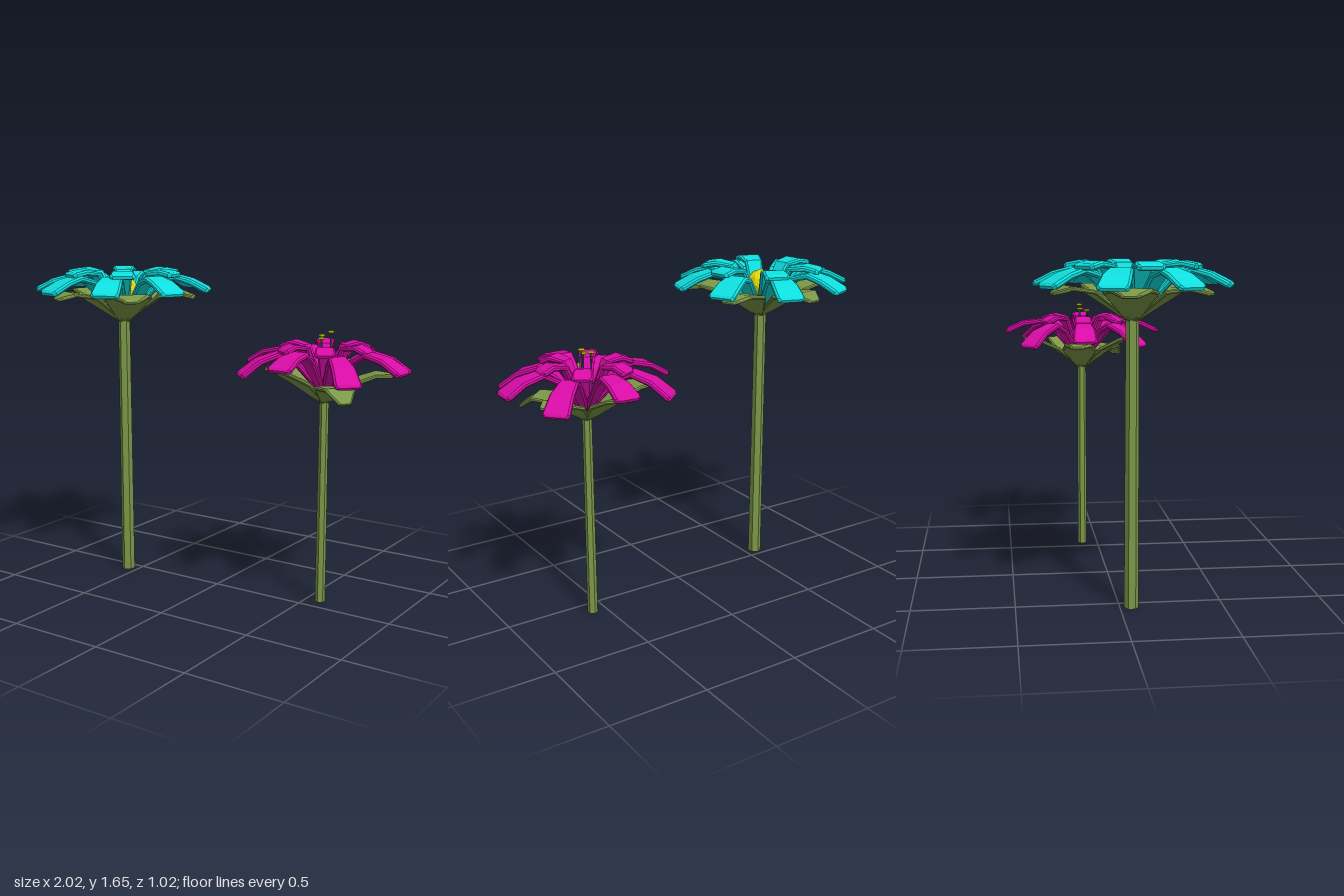
import * as THREE from 'three';

const mat = (color) => new THREE.MeshStandardMaterial({ color, flatShading: true });
const GREEN = mat(0x7c9848), CYAN = mat(0x0fdede), PINK = mat(0xd80ca6);
const YELLOW = mat(0xe6da0a), STALK = mat(0x3f5f7a);

// Bent blade along +x: rows of [radius, height, width], chamfered cross-section
function blade(rows, thick, lift = 0) {
  const n = rows.length;
  const path = rows.map(([r, y], i) => new THREE.Vector2(r, y + lift * (i / (n - 1)) ** 2));
  const rings = [];
  const addRing = (p, nx, ny, w, t) => {
    const c = Math.min(t * 0.6, w * 0.4);
    rings.push([[t, c - w], [t, w - c], [t - c, w], [c - t, w], [-t, w - c], [-t, c - w], [c - t, -w], [t - c, -w]]
      .map(([h, z]) => [p.x + nx * h, p.y + ny * h, z]));
  };
  path.forEach((p, i) => {
    const d = path[Math.min(i + 1, n - 1)].clone().sub(path[Math.max(i - 1, 0)]).normalize();
    const w = rows[i][2] / 2, t = thick / 2;
    if (i < n - 1) return addRing(p, -d.y, d.x, w, t);
    // Softened tip
    addRing(p.clone().addScaledVector(d, -t), -d.y, d.x, w, t);
    addRing(p, -d.y, d.x, w - t, t * 0.5);
  });
  const pos = [];
  const tri = (a, b, c) => pos.push(...a, ...b, ...c);
  for (let k = 0; k < rings.length - 1; k++) {
    const a = rings[k], b = rings[k + 1];
    for (let i = 0; i < 8; i++) {
      const j = (i + 1) % 8;
      tri(a[i], a[j], b[j]);
      tri(a[i], b[j], b[i]);
    }
  }
  const first = rings[0], last = rings[rings.length - 1];
  for (let i = 1; i < 7; i++) {
    tri(first[0], first[i + 1], first[i]);
    tri(last[0], last[i], last[i + 1]);
  }
  const geo = new THREE.BufferGeometry();
  geo.setAttribute('position', new THREE.Float32BufferAttribute(pos, 3));
  geo.computeVertexNormals();
  return geo;
}

function part(parent, name, geo, material, x = 0, y = 0, z = 0) {
  const m = new THREE.Mesh(geo, material);
  m.name = name;
  m.position.set(x, y, z);
  parent.add(m);
  return m;
}

// Ring of blades; lifts raise or lower single tips in turn
function whorl(parent, name, count, startDeg, rows, thick, material, lifts = [0]) {
  const group = new THREE.Group();
  group.name = name + 's';
  for (let i = 0; i < count; i++) {
    const m = part(group, name, blade(rows, thick, lifts[i % lifts.length]), material);
    m.rotation.y = THREE.MathUtils.degToRad(startDeg + (i * 360) / count);
  }
  parent.add(group);
}

function flower(name, x, z, stemRadius, stemHeight) {
  const g = new THREE.Group();
  g.name = name;
  g.position.set(x, 0, z);
  part(g, 'stem', new THREE.CylinderGeometry(stemRadius * 0.9, stemRadius, stemHeight, 6), GREEN, 0, stemHeight / 2, 0);
  return g;
}

export function createModel() {
  const root = new THREE.Group();
  root.name = 'flowers';

  // Tall cyan flower with a round yellow centre
  const tall = flower('tallFlower', -0.56, 0.055, 0.035, 1.39);
  whorl(tall, 'sepal', 5, 27,
    [[0.015, 1.385, 0.06], [0.2, 1.515, 0.25], [0.3, 1.53, 0.19], [0.38, 1.505, 0.08]], 0.02, GREEN);
  whorl(tall, 'outerPetal', 8, 27,
    [[0.03, 1.41, 0.05], [0.2, 1.59, 0.09], [0.28, 1.612, 0.11], [0.36, 1.59, 0.135], [0.458, 1.54, 0.145]], 0.03, CYAN);
  whorl(tall, 'innerPetal', 6, 8,
    [[0.03, 1.42, 0.05], [0.16, 1.63, 0.095], [0.24, 1.64, 0.115], [0.315, 1.625, 0.13]], 0.03, CYAN);
  part(tall, 'centre', new THREE.IcosahedronGeometry(0.075, 1), YELLOW, 0, 1.545, 0);
  root.add(tall);

  // Short pink flower with three stamens
  const short = flower('shortFlower', 0.575, -0.085, 0.026, 1.05);
  whorl(short, 'sepal', 5, 27,
    [[0.01, 1.04, 0.05], [0.15, 1.14, 0.19], [0.25, 1.175, 0.15], [0.33, 1.17, 0.07]], 0.02, GREEN,
    [0, 0.03, 0, 0.05, -0.09]);
  whorl(short, 'outerPetal', 8, -2,
    [[0.02, 1.09, 0.04], [0.15, 1.24, 0.07], [0.23, 1.285, 0.09], [0.33, 1.262, 0.115], [0.425, 1.205, 0.13]], 0.028, PINK,
    [0, -0.035, 0.03, -0.035]);
  whorl(short, 'innerPetal', 6, -2,
    [[0.02, 1.1, 0.04], [0.11, 1.305, 0.075], [0.18, 1.315, 0.09], [0.24, 1.29, 0.1]], 0.028, PINK);
  for (const [x, y, z] of [[-0.025, 1.36, -0.01], [0.025, 1.38, -0.01], [-0.005, 1.35, 0.03]]) {
    part(short, 'stamenStalk', new THREE.CylinderGeometry(0.004, 0.004, y - 1.08, 5), STALK, x, (y + 1.08) / 2, z);
    part(short, 'stamenTip', new THREE.SphereGeometry(0.018, 7, 4), YELLOW, x, y, z).scale.y = 0.45;
  }
  root.add(short);
  return root;
}
